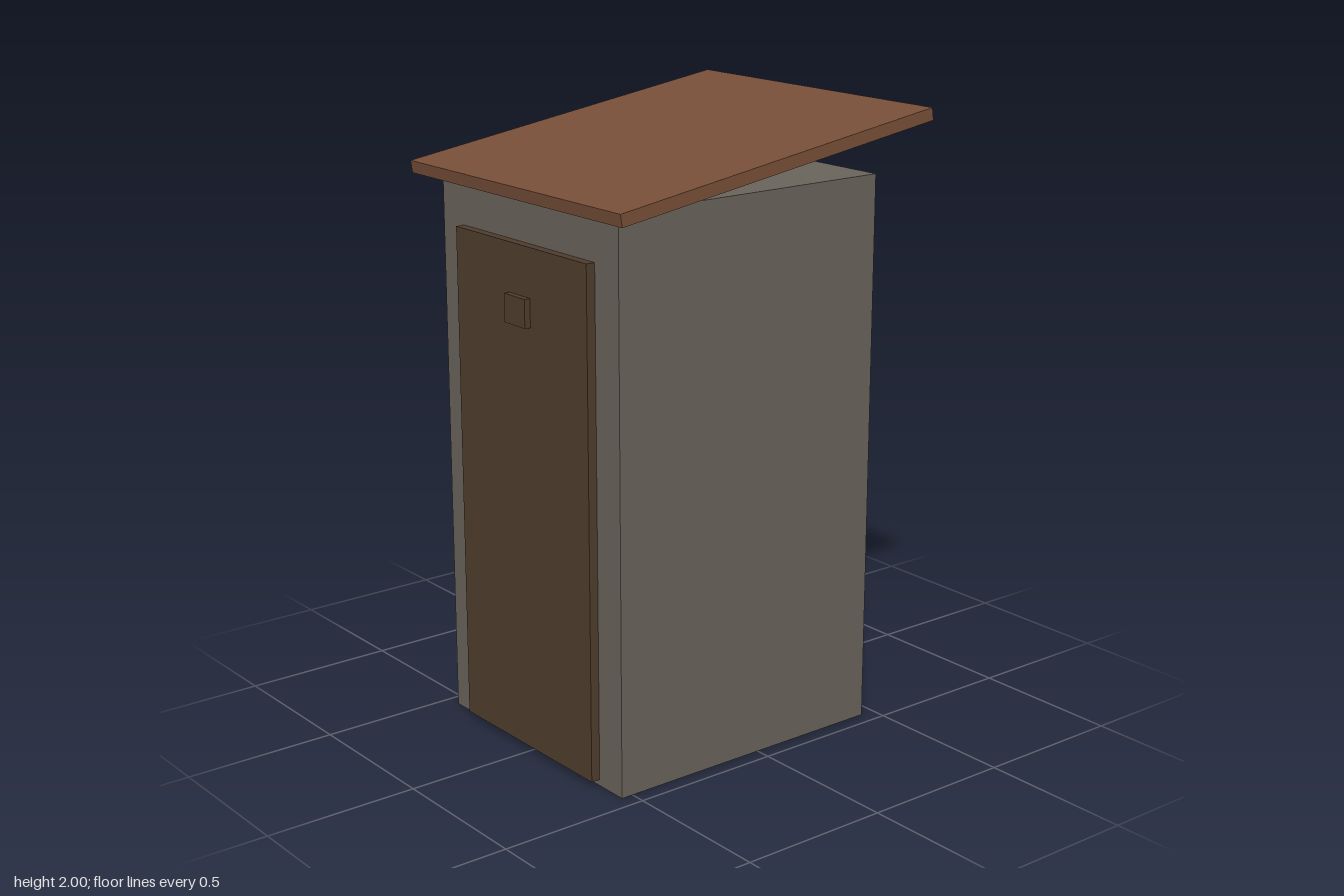
import * as THREE from 'three';

const material = (name, color) => {
  const m = new THREE.MeshStandardMaterial({ color });
  m.name = name;
  return m;
};

export function createModel() {
  const group = new THREE.Group();
  group.name = 'shed';

  const wall = material('grey wall', 0x69645b);
  const wood = material('dark door wood', 0x4f3d2d);
  const roofing = material('brown roofing', 0x784f38);

  const addBox = (name, mat, size, position) => {
    const mesh = new THREE.Mesh(new THREE.BoxGeometry(...size), mat);
    mesh.name = name;
    mesh.position.set(...position);
    group.add(mesh);
    return mesh;
  };

  // Plain walled body, standing slightly forward of centre
  addBox('body', wall, [0.9, 1.8, 0.99], [0, 0.9, 0.045]);

  // Door on the front face with a small raised block near its top
  addBox('door', wood, [0.674, 1.62, 0.03], [0, 0.83, 0.555]);
  addBox('doorBlock', wood, [0.106, 0.09, 0.022], [0, 1.44, 0.579]);

  // Overhanging roof slab, rising towards the back
  const roof = addBox('roof', roofing, [1.08, 0.04, 1.208], [0, 1.89, 0]);
  roof.rotation.x = 0.15;

  return group;
}
